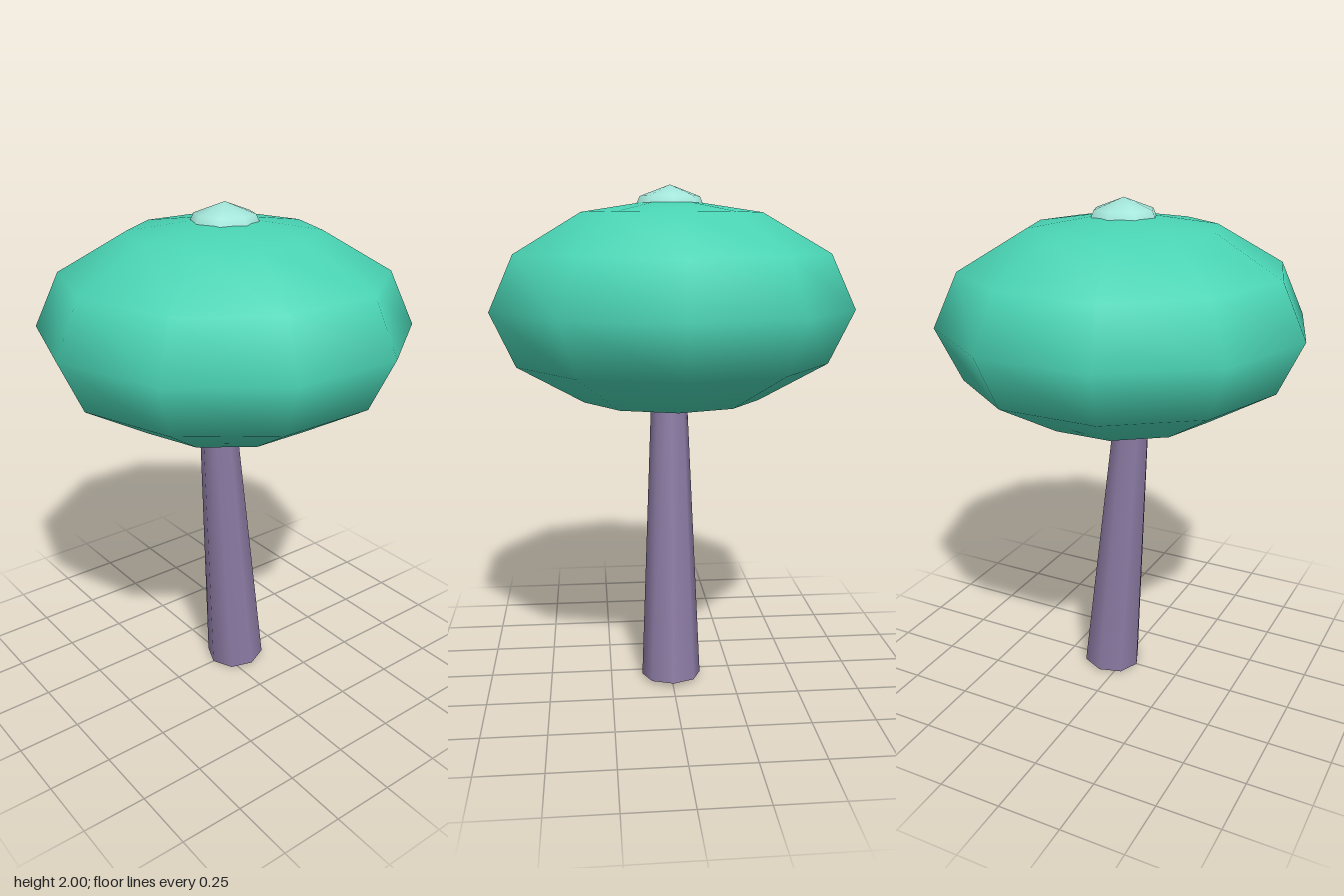
import * as THREE from 'three';

const canopyTeal = new THREE.MeshStandardMaterial({ name: 'canopy teal', color: 0x4ad4b4 });
const tipMint = new THREE.MeshStandardMaterial({ name: 'tip mint', color: 0xa4e6da });
const trunkPurple = new THREE.MeshStandardMaterial({ name: 'trunk purple', color: 0x8c7ba4 });

// Squashed low-segment sphere with smooth normals
function blob(name, material, radius, height, y, sides, rings) {
  const mesh = new THREE.Mesh(new THREE.SphereGeometry(radius, sides, rings), material);
  mesh.name = name;
  mesh.scale.y = height / radius;
  mesh.position.y = y;
  return mesh;
}

export function createModel() {
  const model = new THREE.Group();
  model.name = 'tree';

  // Tapered trunk leaning towards -x, running up inside the canopy
  const length = 1.3;
  const trunkShape = new THREE.CylinderGeometry(0.067, 0.121, length, 8);
  trunkShape.translate(0, length / 2, 0);
  const trunk = new THREE.Mesh(trunkShape, trunkPurple);
  trunk.name = 'trunk';
  trunk.position.set(0.058, 0.01, 0);
  trunk.rotation.z = 0.08;
  model.add(trunk);

  // Wide canopy and the small tip poking out of its top
  model.add(blob('canopy', canopyTeal, 0.716, 0.412, 1.539, 10, 6));
  model.add(blob('tip', tipMint, 0.163, 0.147, 1.853, 8, 4));

  return model;
}
